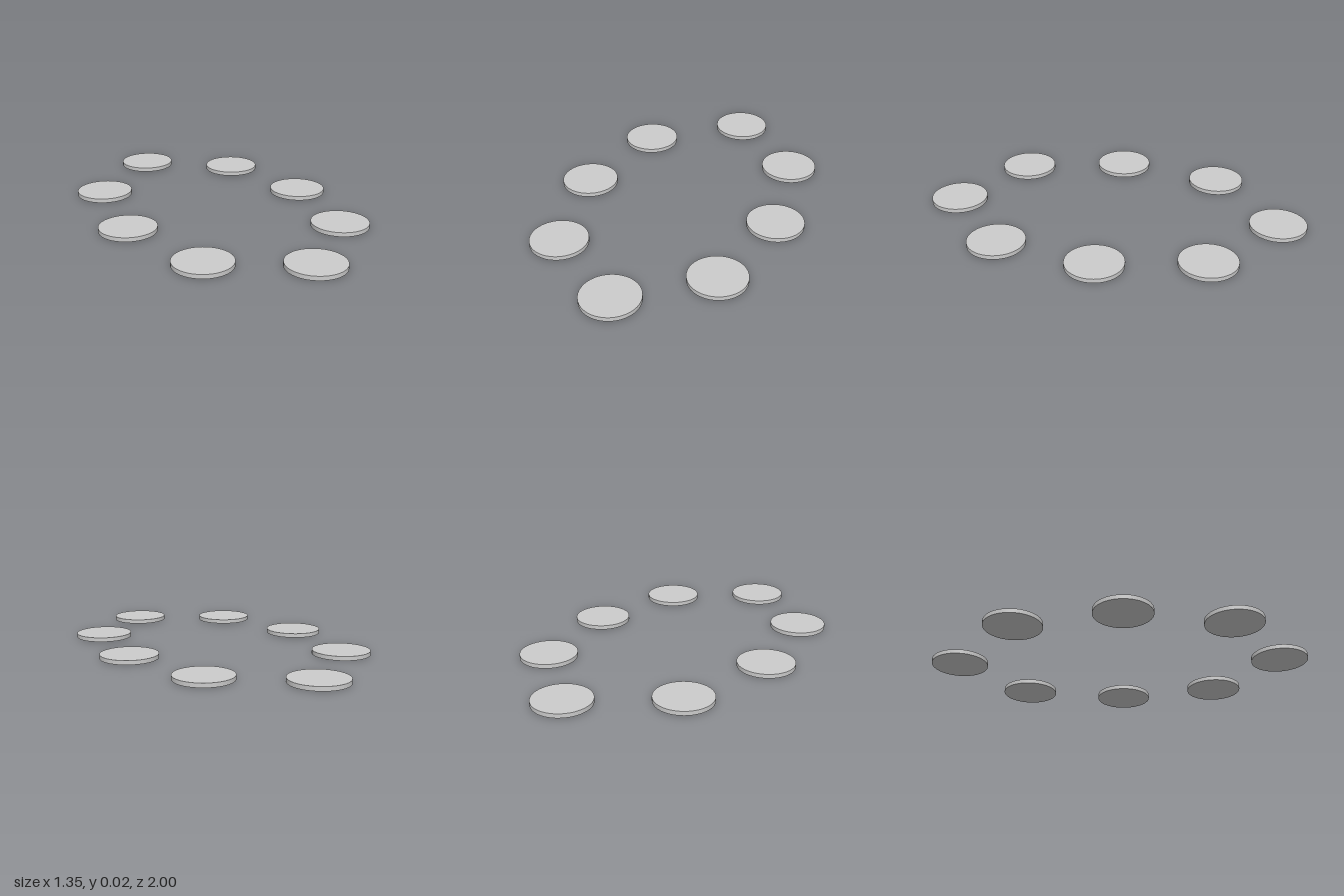
import * as THREE from 'three';

const RADIUS = 0.148;
const HEIGHT = 0.022;

// Disc centres [x, z], clockwise from the back
const CENTRES = [
  [0, -0.852], [0.41, -0.536], [0.525, -0.002], [0.429, 0.519],
  [0.042, 0.852], [-0.394, 0.587], [-0.527, 0.053], [-0.426, -0.492],
];

export function createModel() {
  const model = new THREE.Group();
  model.name = 'discRing';
  const material = new THREE.MeshStandardMaterial({ color: 0xcccccc });
  const geometry = new THREE.CylinderGeometry(RADIUS, RADIUS, HEIGHT, 64);

  // Eight equal thin discs lying flat in a loose oval
  CENTRES.forEach(([x, z], i) => {
    const disc = new THREE.Mesh(geometry, material);
    disc.name = `disc${i + 1}`;
    disc.position.set(x, HEIGHT / 2, z);
    model.add(disc);
  });
  return model;
}
